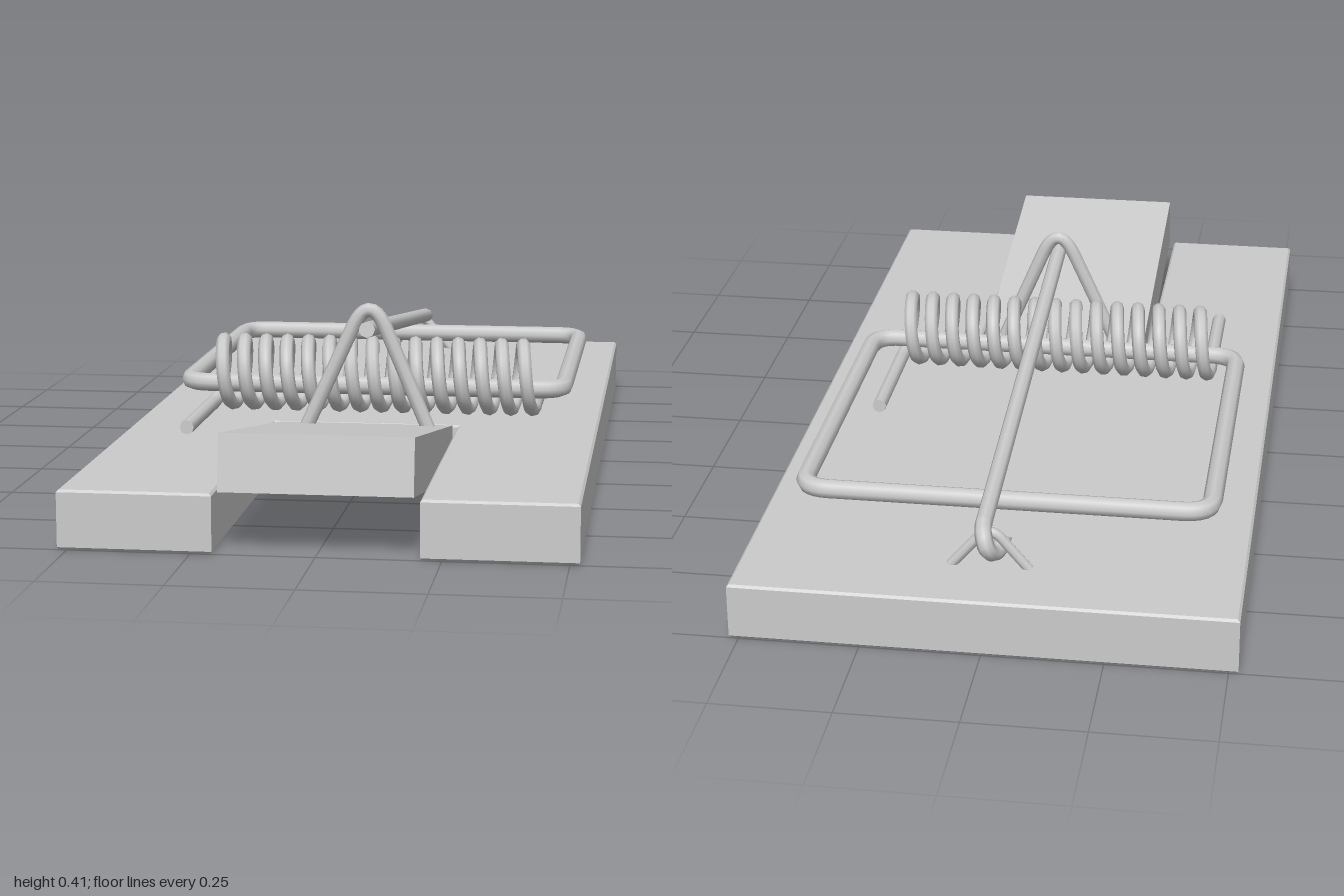
import * as THREE from 'three';

const grey = new THREE.MeshStandardMaterial({ color: 0xcccccc });
const V = (x, y, z) => new THREE.Vector3(x, y, z);

function part(name, geometry) {
  const mesh = new THREE.Mesh(geometry, grey);
  mesh.name = name;
  return mesh;
}

// Round wire along a curve, with flat discs closing open ends
function wire(name, curve, radius, segments, closed = false) {
  const group = new THREE.Group();
  group.name = name;
  group.add(part(name + 'Wire', new THREE.TubeGeometry(curve, segments, radius, 8, closed)));
  if (closed) return group;
  for (const [t, sign] of [[0, -1], [1, 1]]) {
    const cap = part(name + 'End', new THREE.CircleGeometry(radius, 8));
    cap.position.copy(curve.getPointAt(t));
    cap.quaternion.setFromUnitVectors(V(0, 0, 1), curve.getTangentAt(t).multiplyScalar(sign));
    group.add(cap);
  }
  return group;
}

// Straight runs joined by rounded corners
function bentPath(points, bend, closed = false) {
  const path = new THREE.CurvePath();
  const n = points.length;
  const toward = (a, b) => a.clone().add(b.clone().sub(a).setLength(bend));
  let start = closed ? toward(points[0], points[1]) : points[0];
  for (let i = 1; i <= (closed ? n : n - 2); i++) {
    const corner = points[i % n];
    const before = toward(corner, points[i - 1]);
    const after = toward(corner, points[(i + 1) % n]);
    path.add(new THREE.LineCurve3(start, before));
    path.add(new THREE.QuadraticBezierCurve3(before, corner, after));
    start = after;
  }
  if (!closed) path.add(new THREE.LineCurve3(start, points[n - 1]));
  path.arcLengthDivisions = 1000;
  return path;
}

function smoothPath(points) {
  const curve = new THREE.CatmullRomCurve3(points);
  curve.arcLengthDivisions = 3000;
  return curve;
}

function outline(points) {
  return new THREE.Shape(points.map(([x, y]) => new THREE.Vector2(x, y)));
}

export function createModel() {
  const model = new THREE.Group();
  model.name = 'mousetrap';

  // Board with a slot for the pedal, edges slightly eased
  const bevel = 0.005;
  const board = new THREE.ExtrudeGeometry(
    outline([[-0.52, -1], [-0.207, -1], [-0.207, -0.235], [0.207, -0.235],
      [0.207, -1], [0.52, -1], [0.52, 1], [-0.52, 1]]),
    { depth: 0.122 - 2 * bevel, bevelThickness: bevel, bevelSize: bevel, bevelOffset: -bevel, bevelSegments: 1 });
  board.rotateX(-Math.PI / 2).translate(0, bevel, 0);
  model.add(part('board', board));

  // Tilted pedal: side profile (z, y) extruded across x
  const pedal = new THREE.ExtrudeGeometry(
    outline([[0.243, 0.004], [1, 0.126], [0.982, 0.242], [0.225, 0.12]]),
    { depth: 0.39, bevelEnabled: false });
  pedal.rotateY(-Math.PI / 2).translate(0.195, 0, 0);
  model.add(part('pedal', pedal));

  // Coil spring with a straight leg at each end
  const turns = 15, perTurn = 12, coilRadius = 0.073;
  const coil = [V(-0.37, 0.143, 0.44), V(-0.37, 0.143, 0.3), V(-0.37, 0.143, 0.18)];
  for (let i = 0; i <= turns * perTurn; i++) {
    const a = (i / perTurn) * Math.PI * 2;
    coil.push(V(-0.37 + 0.74 * i / (turns * perTurn),
      0.216 - coilRadius * Math.cos(a), 0.125 - coilRadius * Math.sin(a)));
  }
  coil.push(V(0.37, 0.143, 0.07), V(0.37, 0.143, -0.05), V(0.37, 0.143, -0.17));
  model.add(wire('spring', smoothPath(coil), 0.016, 900));

  // Rectangular hammer bar running through the coil
  const hammer = [[-0.435, 0.12], [0.435, 0.12], [0.435, -0.68], [-0.435, -0.68]]
    .map(([x, z]) => V(x, 0.188, z));
  model.add(wire('hammerBar', bentPath(hammer, 0.06, true), 0.021, 240, true));

  // Wire arch on the pedal
  const arch = [V(-0.125, 0.125, 0.31), V(0.018, 0.435, 0.31), V(0.15, 0.125, 0.31)];
  model.add(wire('pedalArch', bentPath(arch, 0.095), 0.016, 60));

  // Holding rod, curled at the back around its staple
  const rod = new THREE.CurvePath();
  const curlStart = V(0.018, 0.211, -0.835);
  rod.add(new THREE.LineCurve3(V(0.018, 0.355, 0.36), curlStart));
  rod.add(smoothPath([curlStart, V(0.014, 0.199, -0.862), V(0.006, 0.174, -0.87),
    V(-0.004, 0.154, -0.85), V(-0.014, 0.154, -0.823), V(-0.02, 0.175, -0.81)]));
  rod.arcLengthDivisions = 1000;
  model.add(wire('holdingRod', rod, 0.018, 160));

  // Small staple at the back
  const staple = [V(-0.078, 0.118, -0.845), V(0.004, 0.215, -0.845), V(0.086, 0.118, -0.845)];
  model.add(wire('backStaple', bentPath(staple, 0.04), 0.011, 40));

  return model;
}
